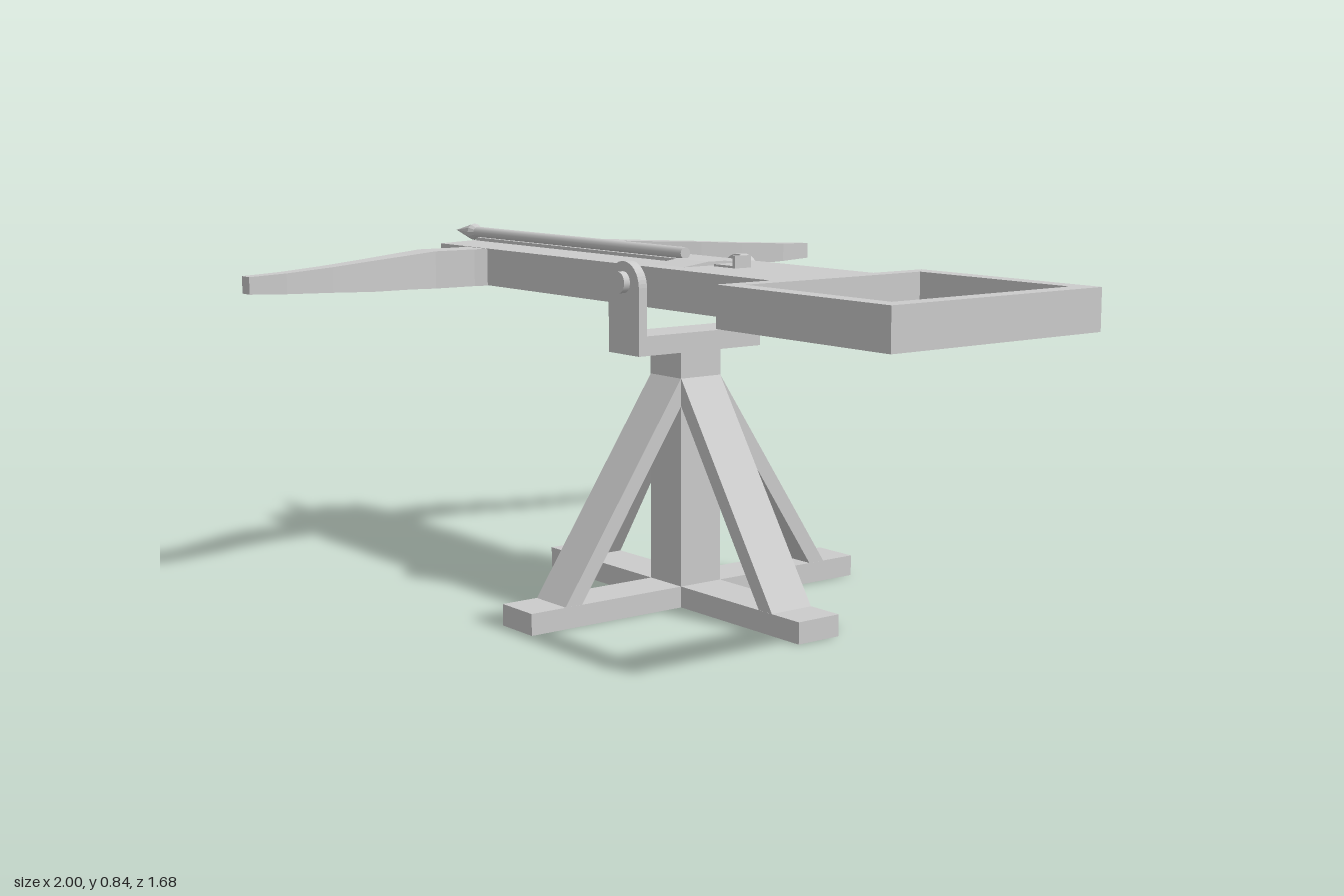
import * as THREE from 'three';

const material = new THREE.MeshStandardMaterial({ color: 0xcccccc, flatShading: true });
const smooth = new THREE.MeshStandardMaterial({ color: 0xcccccc });

export function createModel() {
  const model = new THREE.Group();
  model.name = 'ballista';

  const add = (name, geometry, parent = model, mat = material) => {
    const mesh = new THREE.Mesh(geometry, mat);
    mesh.name = name;
    parent.add(mesh);
    return mesh;
  };
  // Box given by its lower and upper limits on each axis
  const box = (name, [x0, x1], [y0, y1], [z0, z1], parent) => {
    const mesh = add(name, new THREE.BoxGeometry(x1 - x0, y1 - y0, z1 - z0), parent);
    mesh.position.set((x0 + x1) / 2, (y0 + y1) / 2, (z0 + z1) / 2);
    return mesh;
  };
  const outline = (points) => new THREE.Shape(points.map(([x, y]) => new THREE.Vector2(x, y)));
  const extrude = (shape, depth) =>
    new THREE.ExtrudeGeometry(shape, { depth, bevelEnabled: false, curveSegments: 10 });
  // Plan outline (x, z) raised from y0 to y1
  const slab = (shape, y0, y1) => extrude(shape, y1 - y0).rotateX(-Math.PI / 2).translate(0, y0, 0);

  // Stand: crossed feet, post and four sloping braces
  const stand = new THREE.Group();
  stand.name = 'stand';
  model.add(stand);
  box('footBeamX', [-0.477, 0.477], [0, 0.05], [-0.058, 0.058], stand);
  box('footBeamZ', [-0.058, 0.058], [0, 0.05], [-0.477, 0.477], stand);
  box('post', [-0.058, 0.058], [0.01, 0.61], [-0.058, 0.058], stand);
  const braceShape = outline([[0.34, 0.05], [0.385, 0.05], [0.058, 0.54], [0.058, 0.475]]);
  for (let i = 0; i < 4; i++) {
    const geometry = extrude(braceShape, 0.115).translate(0, 0, -0.0575);
    add('brace', geometry, stand).rotation.y = (i * Math.PI) / 2;
  }

  // Yoke with round-topped cheeks and pivot pins
  const yoke = new THREE.Group();
  yoke.name = 'yoke';
  model.add(yoke);
  box('yokeBase', [-0.058, 0.058], [0.6, 0.645], [-0.178, 0.178], yoke);
  const cheek = new THREE.Shape();
  cheek.moveTo(-0.058, 0.645);
  cheek.lineTo(0.058, 0.645);
  cheek.lineTo(0.058, 0.755);
  cheek.absarc(0, 0.755, 0.058, 0, Math.PI, false);
  cheek.closePath();
  for (const s of [-1, 1]) {
    add('yokeCheek', extrude(cheek, 0.023), yoke).position.z = s * 0.1665 - 0.0115;
    const pin = add('pivotPin', new THREE.CylinderGeometry(0.025, 0.025, 0.055, 16), yoke, smooth);
    pin.rotation.x = Math.PI / 2;
    pin.position.set(0, 0.765, s * 0.167);
  }

  // Stock with a blunt pointed nose
  const stock = outline([
    [0.48, -0.147], [0.48, 0.147], [-0.84, 0.147], [-0.882, 0.025], [-0.882, -0.025], [-0.84, -0.147],
  ]);
  add('stock', slab(stock, 0.71, 0.802));

  // Square aiming frame at the rear
  const frame = outline([[0.478, -0.293], [1, -0.293], [1, 0.293], [0.478, 0.293]]);
  frame.holes.push(outline([[0.52, -0.248], [0.52, 0.248], [0.953, 0.248], [0.953, -0.248]]));
  add('rearFrame', slab(frame, 0.71, 0.802));

  // Bow limbs: [z, centre x, width, height]
  const sections = [
    [0.14, -0.667, 0.1, 0.092], [0.18, -0.667, 0.08, 0.092], [0.29, -0.671, 0.08, 0.092],
    [0.37, -0.648, 0.072, 0.084], [0.5, -0.6, 0.056, 0.074], [0.62, -0.573, 0.05, 0.06],
    [0.75, -0.549, 0.042, 0.048], [0.842, -0.551, 0.036, 0.04],
  ];
  for (const s of [-1, 1]) {
    const n = sections.length - 1;
    const geometry = new THREE.BoxGeometry(1, 1, 1, 1, 1, n);
    const p = geometry.attributes.position;
    for (let i = 0; i < p.count; i++) {
      const [z, x, w, h] = sections[Math.round((0.5 + s * p.getZ(i)) * n)];
      p.setXYZ(i, x + p.getX(i) * w, 0.755 + p.getY(i) * h, s * z);
    }
    geometry.computeVertexNormals();
    add('bowLimb', geometry);
  }

  // Low ridge and guide rail under the bolt
  const ridge = outline([[-0.11, 0.8], [0.11, 0.8], [0.025, 0.811], [-0.025, 0.811]]);
  const ridgeMesh = add('catchPlate', extrude(ridge, 0.115));
  ridgeMesh.rotation.y = Math.PI / 2;
  box('guideRail', [-0.87, 0.115], [0.8, 0.81], [-0.02, 0.02]);

  // Trigger: flat foot with an upright tab
  box('triggerFoot', [0.135, 0.21], [0.8, 0.807], [-0.023, 0.023]);
  box('triggerTab', [0.2, 0.21], [0.8, 0.83], [-0.023, 0.023]);

  // Bolt with a kite-shaped head, lying along x
  const bolt = new THREE.Group();
  bolt.name = 'bolt';
  bolt.rotation.z = Math.PI / 2;
  bolt.position.y = 0.822;
  model.add(bolt);
  const shaft = add('boltShaft', new THREE.CylinderGeometry(0.014, 0.014, 0.94, 12), bolt, smooth);
  shaft.position.y = 0.47;
  const head = [[0, 0.89], [0.012, 0.89], [0.022, 0.91], [0, 1]].map(([r, y]) => new THREE.Vector2(r, y));
  add('boltHead', new THREE.LatheGeometry(head, 12), bolt);

  return model;
}
